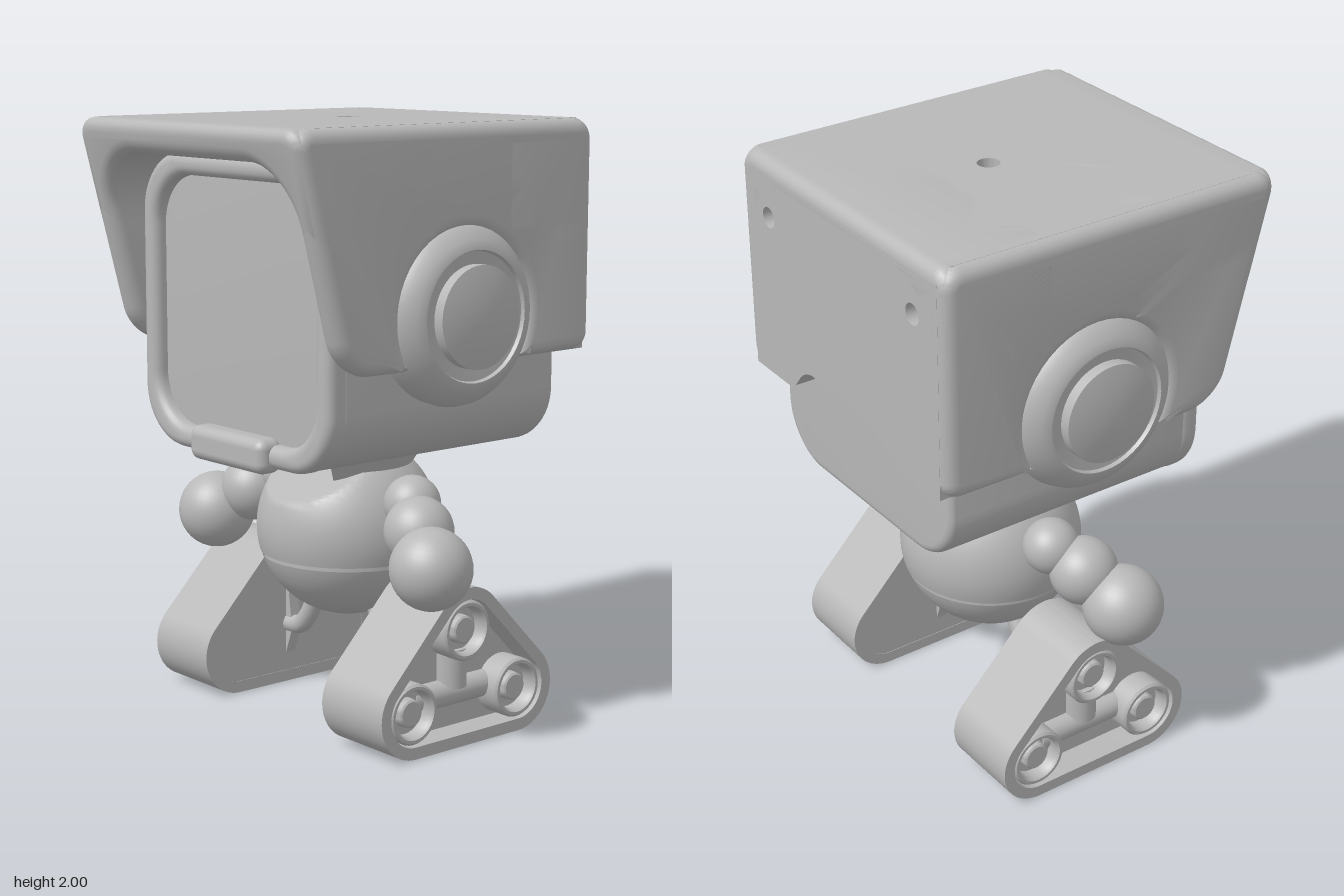
import * as THREE from 'three';
import { toCreasedNormals } from 'three/addons/utils/BufferGeometryUtils.js';
import { RoundedBoxGeometry } from 'three/addons/geometries/RoundedBoxGeometry.js';

const grey = new THREE.MeshStandardMaterial({ color: 0xb8b8b8, side: THREE.DoubleSide });
grey.name = 'plain grey';
const AXIS_Z = -0.0575; // z of the body, ears and feet

function add(parent, name, geometry, x = 0, y = 0, z = 0) {
  const mesh = new THREE.Mesh(geometry, grey);
  mesh.name = name;
  mesh.position.set(x, y, z);
  parent.add(mesh);
  return mesh;
}

// Closed outline from corners [x, y, rounding]
function outline(corners, path = new THREE.Shape()) {
  const n = corners.length;
  corners.forEach(([x, y, r = 0], i) => {
    const c = new THREE.Vector2(x, y);
    const toward = (q) => new THREE.Vector2(q[0], q[1]).sub(c).normalize().multiplyScalar(r).add(c);
    const a = toward(corners[(i + n - 1) % n]);
    const b = toward(corners[(i + 1) % n]);
    if (i === 0) path.moveTo(a.x, a.y); else path.lineTo(a.x, a.y);
    if (r > 0) {
      const h1 = a.clone().lerp(c, 0.55), h2 = b.clone().lerp(c, 0.55);
      path.bezierCurveTo(h1.x, h1.y, h2.x, h2.y, b.x, b.y);
    }
  });
  path.closePath();
  return path;
}

const roundRect = (x, y0, y1, r, path) =>
  outline([[-x, y0, r], [x, y0, r], [x, y1, r], [-x, y1, r]], path);

const circle = (x, y, r) => new THREE.Path().absarc(x, y, r, 0, Math.PI * 2);

// Extrusion filling z = 0..depth, with rounded edges inside the outline
function slab(shape, depth, bevel = 0) {
  const g = new THREE.ExtrudeGeometry(shape, {
    depth: depth - 2 * bevel, bevelEnabled: bevel > 0, bevelSize: bevel,
    bevelThickness: bevel, bevelOffset: -bevel, bevelSegments: 5, curveSegments: 16,
  });
  return g.translate(0, 0, bevel);
}

const smooth = (g) => toCreasedNormals(g, 0.6);

// Side slab: outline is (z, y), filling x0..x0 + depth
const sideSlab = (shape, x0, depth, bevel) =>
  smooth(slab(shape, depth, bevel).rotateY(-Math.PI / 2).translate(x0 + depth, 0, 0));

// Lathe about the x axis from [radius, x] pairs
const turnedX = (profile, segments = 48) =>
  smooth(new THREE.LatheGeometry(profile.map((p) => new THREE.Vector2(...p)), segments).rotateZ(-Math.PI / 2));

function buildHead(root) {
  const head = new THREE.Group();
  head.name = 'head';
  root.add(head);
  add(head, 'innerHead', smooth(slab(roundRect(0.488, 0.912, 1.885, 0.2), 0.935, 0.03)), 0, 0, -0.548);
  const rim = roundRect(0.49, 0.91, 1.89, 0.2);
  rim.holes.push(roundRect(0.415, 0.985, 1.815, 0.17, new THREE.Path()));
  add(head, 'faceRim', smooth(slab(rim, 0.09, 0.033)), 0, 0, 0.345);
  add(head, 'chinClip', new RoundedBoxGeometry(0.39, 0.115, 0.1, 4, 0.035), 0, 0.948, 0.42);

  // Helmet cheeks, bitten away around the ears
  const cheek = [[-0.62, 2, 0.07], [-0.62, 1.24, 0.06]];
  const dip = Math.asin(0.16 / 0.27);
  for (let i = 0; i <= 32; i++) {
    const a = Math.PI + dip - (i / 32) * (Math.PI + 2 * dip);
    cheek.push([AXIS_Z + 0.27 * Math.cos(a), 1.4 + 0.27 * Math.sin(a), 0]);
  }
  cheek.push([0.44, 1.24, 0.12], [0.638, 2, 0.08]);
  for (const x0 of [0.49, -0.58]) add(head, 'helmetCheek', sideSlab(outline(cheek), x0, 0.09, 0.044));

  // Helmet hood: arch over the inner head, leaning forward at the front
  const arch = outline([[-0.58, 1.66], [-0.49, 1.66], [-0.49, 1.89, 0.2], [0.49, 1.89, 0.2],
    [0.49, 1.66], [0.58, 1.66], [0.58, 2, 0.07], [-0.58, 2, 0.07]]);
  const front = slab(arch, 0.588, 0.044).translate(0, 0, 0.05);
  const p = front.attributes.position;
  for (let i = 0; i < p.count; i++) {
    if (p.getZ(i) > 0.3) p.setZ(i, p.getZ(i) - (2 - p.getY(i)) * 0.26);
  }
  add(head, 'hoodFront', smooth(front));
  add(head, 'hoodBack', smooth(slab(arch, 0.42, 0.044)), 0, 0, -0.62);

  // Flat helmet top with its centre hole
  const top = outline([[-0.54, -0.55], [0.54, -0.55], [0.54, 0.57], [-0.54, 0.57]]);
  top.holes.push(circle(0, 0.06, 0.037));
  add(head, 'helmetTop', slab(top, 0.1).rotateX(-Math.PI / 2), 0, 1.9, 0);

  // Helmet back with a notch and two screw holes
  const back = outline([[-0.54, 1.24], [-0.31, 1.24, 0.03], [-0.23, 1.34, 0.05], [0.23, 1.34, 0.05],
    [0.31, 1.24, 0.03], [0.54, 1.24], [0.54, 1.955], [-0.54, 1.955]]);
  for (const s of [-1, 1]) back.holes.push(circle(s * 0.41, 1.81, 0.035));
  add(head, 'helmetBack', slab(back, 0.08), 0, 0, -0.62);
}

function buildBody(root) {
  const body = new THREE.Group();
  body.name = 'body';
  body.position.set(0, 0.63, AXIS_Z);
  root.add(body);
  // Upper and lower shells of the ball, parted by a groove
  const shell = (r, from, to) => {
    const pts = [];
    for (let i = 0; i <= 32; i++) {
      const a = from + ((to - from) * i) / 32;
      pts.push(new THREE.Vector2(r * Math.cos(a), r * Math.sin(a)));
    }
    return new THREE.LatheGeometry(pts, 64);
  };
  const upper = shell(0.31, -0.28, 1.57);
  // Flatten the crown and slice the chest on a slant
  const p = upper.attributes.position;
  for (let i = 0; i < p.count; i++) {
    const over = Math.max(0, p.getY(i) * 0.866 + p.getZ(i) * 0.5 - 0.24);
    p.setZ(i, p.getZ(i) - over * 0.5);
    p.setY(i, Math.min(0.245, p.getY(i) - over * 0.866));
  }
  add(body, 'upperShell', smooth(upper));
  add(body, 'grooveCore', new THREE.CylinderGeometry(0.285, 0.285, 0.04, 64), 0, -0.095, 0);
  add(body, 'lowerShell', smooth(shell(0.308, -1.48, -0.33)));
  add(body, 'neckRod', new THREE.CylinderGeometry(0.018, 0.018, 0.16, 16), 0, 0.21, 0);
  add(body, 'neckDisc', new THREE.CylinderGeometry(0.085, 0.085, 0.05, 32), 0, 0.262, 0);
  // Flared collar pieces at both sides of the neck
  for (const s of [1, -1]) {
    add(body, 'collar', new THREE.CylinderGeometry(0.26, 0.18, 0.12, 20, 1, true,
      s * Math.PI / 2 - 0.95, 1.9), 0, 0.222, 0);
  }
}

function buildArms(root) {
  const balls = [['shoulder', 0.335, 0.755, -0.05, 0.095], ['elbow', 0.435, 0.69, 0.01, 0.115], ['hand', 0.565, 0.6, 0.075, 0.135]];
  for (const s of [1, -1]) {
    const arm = new THREE.Group();
    arm.name = s > 0 ? 'leftArm' : 'rightArm';
    root.add(arm);
    for (const [name, x, y, z, r] of balls) add(arm, name, new THREE.SphereGeometry(r, 32, 20), s * x, y, z);
  }
}

// Ear, leg and tracked foot of one side
function buildSide(root, s) {
  const side = new THREE.Group();
  side.name = s > 0 ? 'leftSide' : 'rightSide';
  side.position.z = AXIS_Z;
  side.rotation.y = s > 0 ? 0 : Math.PI;
  root.add(side);

  add(side, 'earDish', turnedX([[0.27, 0.46], [0.295, 0.49], [0.297, 0.53], [0.288, 0.56], [0.268, 0.587],
    [0.24, 0.61], [0.22, 0.62], [0.21, 0.622], [0.205, 0.61], [0.165, 0.606]]), 0, 1.4, 0);
  add(side, 'earCap', turnedX([[0.165, 0.6], [0.165, 0.643], [0.12, 0.654], [0.06, 0.662], [0, 0.665]]), 0, 1.4, 0);

  const path = new THREE.CatmullRomCurve3([[0.1, 0.42], [0.16, 0.35], [0.21, 0.265], [0.255, 0.22], [0.34, 0.21]]
    .map(([x, y]) => new THREE.Vector3(x, y, 0)));
  add(side, 'leg', new THREE.TubeGeometry(path, 24, 0.033, 16));
  add(side, 'legBracket', slab(outline([[0.32, 0.48], [0.28, 0.2], [0.32, 0.09]]), 0.04), 0, 0, -0.02);

  // Rounded triangular track around three wheels
  const wheels = [[0.2275, 0.145], [0, 0.38], [-0.2275, 0.145]];
  const tilt = Math.atan2(0.2275, 0.235);
  const turns = [-Math.PI / 2, tilt, Math.PI - tilt, Math.PI * 1.5];
  const hull = (r, path2) => {
    wheels.forEach(([z, y], i) => path2.absarc(z, y, r, turns[i], turns[i + 1]));
    path2.closePath();
    return path2;
  };
  const belt = hull(0.145, new THREE.Shape());
  belt.holes.push(hull(0.105, new THREE.Path()));
  add(side, 'trackBelt', sideSlab(belt, 0.313, 0.292, 0));
  add(side, 'trackPlate', sideSlab(hull(0.12, new THREE.Shape()), 0.315, 0.195, 0));
  for (const [z, y] of wheels) {
    add(side, 'wheel', turnedX([[0.1, 0.5], [0.1, 0.592], [0.093, 0.6], [0.083, 0.6], [0.076, 0.59],
      [0.074, 0.55], [0.048, 0.55], [0.046, 0.58], [0.04, 0.585], [0, 0.585]], 32), 0, y, z);
  }
  add(side, 'axleBar', new THREE.CylinderGeometry(0.045, 0.045, 0.36, 20).rotateX(Math.PI / 2), 0.515, 0.16, 0);
  add(side, 'strutBar', new THREE.CylinderGeometry(0.055, 0.055, 0.13, 20), 0.515, 0.245, 0);
}

export function createModel() {
  const root = new THREE.Group();
  root.name = 'robot';
  buildHead(root);
  buildBody(root);
  buildArms(root);
  for (const s of [1, -1]) buildSide(root, s);
  return root;
}
